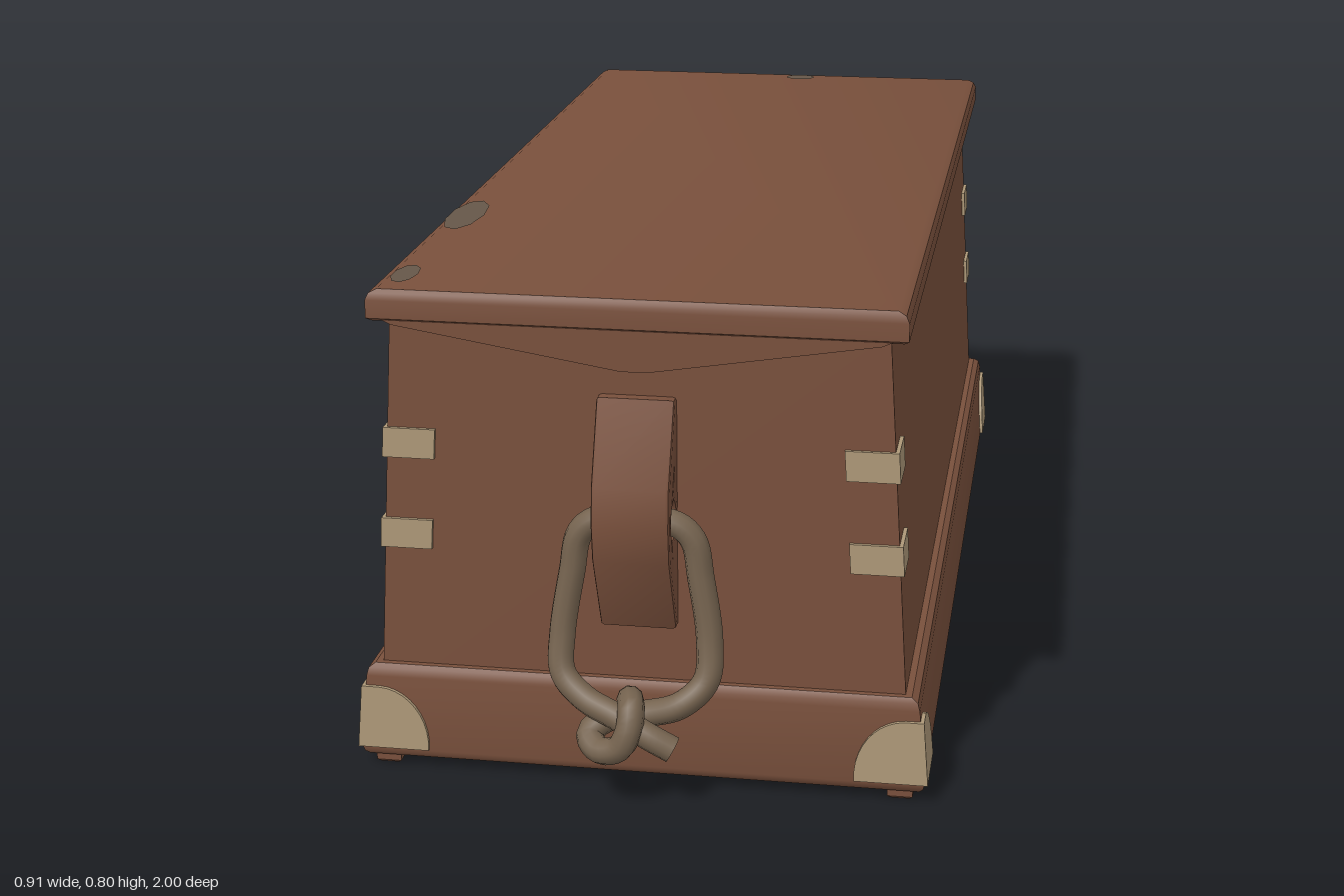
import * as THREE from 'three';
import { toCreasedNormals } from 'three/addons/utils/BufferGeometryUtils.js';

const mat = (name, color) => new THREE.MeshStandardMaterial({ name, color });

// Rectangular rings [y, halfX, halfZ] from bottom to top, joined and capped
function loft(rings) {
  const pos = [], idx = [];
  for (const [y, hx, hz] of rings) pos.push(hx, y, hz, hx, y, -hz, -hx, y, -hz, -hx, y, hz);
  for (let r = 0; r < rings.length - 1; r++) {
    for (let i = 0; i < 4; i++) {
      const a = r * 4 + i, b = r * 4 + (i + 1) % 4;
      idx.push(a, b, b + 4, a, b + 4, a + 4);
    }
  }
  const t = (rings.length - 1) * 4;
  idx.push(0, 2, 1, 0, 3, 2, t, t + 1, t + 2, t, t + 2, t + 3);
  const g = new THREE.BufferGeometry();
  g.setAttribute('position', new THREE.Float32BufferAttribute(pos, 3));
  g.setIndex(idx);
  return toCreasedNormals(g, 0.6);
}

// Thin plate wrapped on one face of a corner; shape x runs inwards from the corner
function cornerPlate(shape, halfX, halfZ, sx, sz, onSide) {
  const t = 0.006;
  const g = new THREE.ExtrudeGeometry(shape, { depth: t, bevelEnabled: false, curveSegments: 10 });
  const p = g.attributes.position;
  for (let i = 0; i < p.count; i++) {
    const u = p.getX(i), y = p.getY(i), d = p.getZ(i);
    const x = onSide ? halfX(y) + d : halfX(y) + t - u;
    const z = onSide ? halfZ(y) + t - u : halfZ(y) + d;
    p.setXYZ(i, sx * x, y, sz * z);
  }
  // Keep faces outward after mirroring
  if (sx * sz * (onSide ? 1 : -1) < 0) {
    const a = new THREE.Vector3(), b = new THREE.Vector3();
    for (let i = 0; i < p.count; i += 3) {
      a.fromBufferAttribute(p, i + 1);
      b.fromBufferAttribute(p, i + 2);
      p.setXYZ(i + 1, b.x, b.y, b.z);
      p.setXYZ(i + 2, a.x, a.y, a.z);
    }
  }
  g.computeVertexNormals();
  return g;
}

const polygon = pts => new THREE.Shape(pts.map(([x, y]) => new THREE.Vector2(x, y)));

export function createModel() {
  const root = new THREE.Group();
  root.name = 'seaChest';
  const wood = mat('wood', 0x79503c);
  const brass = mat('brass', 0xad9878);
  const rope = mat('rope', 0x75634f);
  const worn = mat('wornPaint', 0x665749);
  const add = (parent, name, geo, material) => {
    const m = new THREE.Mesh(geo, material);
    m.name = name;
    parent.add(m);
    return m;
  };

  // Tapered body, skirt base and runners
  const bodyX = y => 0.415 - (y - 0.17) * 0.06, bodyZ = () => 0.86;
  const baseX = y => 0.4485 - (y - 0.03) * 0.08, baseZ = y => 0.882 - (y - 0.03) * 0.03;
  add(root, 'body', loft([[0.1, bodyX(0.1), 0.86], [0.755, bodyX(0.755), 0.86]]), wood);
  add(root, 'base', loft([
    [0.018, 0.44, 0.875], [0.024, 0.446, 0.88], [0.032, 0.4485, 0.882], [0.155, baseX(0.155), baseZ(0.155)],
    [0.168, 0.435, 0.876], [0.175, 0.425, 0.87]]), wood);
  for (const s of [-1, 1]) {
    const runner = add(root, 'runner', loft([[0, 0.015, 0.865], [0.005, 0.02, 0.87], [0.022, 0.02, 0.87]]), wood);
    runner.position.x = s * 0.41;
  }

  // Lid with rounded rim
  add(root, 'lid', loft([
    [0.745, 0.402, 0.882], [0.75, 0.409, 0.889], [0.778, 0.409, 0.889],
    [0.789, 0.404, 0.887], [0.795, 0.392, 0.882]]), wood);

  // Worn patches on the lid
  for (const [x, z, w, d] of [[-0.37, 0.43, 0.03, 0.1], [0.035, -0.85, 0.03, 0.025], [-0.37, 0.8, 0.02, 0.05]]) {
    const g = new THREE.CircleGeometry(1, 9).rotateX(-Math.PI / 2).scale(w, 1, d);
    add(root, 'wornPatch', g, worn).position.set(x, 0.797, z);
  }

  // Corner guards on the base, and straps up the corners
  const guard = new THREE.Shape();
  guard.moveTo(0, 0.035);
  guard.lineTo(0.115, 0.035);
  guard.bezierCurveTo(0.115, 0.09, 0.075, 0.138, 0.028, 0.139);
  guard.lineTo(0, 0.139);
  const strap = (y, w) => polygon([[0, y], [w, y], [w, y + 0.048], [0, y + 0.048]]);
  for (const sx of [-1, 1]) for (const sz of [-1, 1]) for (const onSide of [false, true]) {
    add(root, 'cornerGuard', cornerPlate(guard, baseX, baseZ, sx, sz, onSide), brass);
    for (const y of [0.372, 0.521]) {
      add(root, 'cornerStrap', cornerPlate(strap(y, 0.082), bodyX, bodyZ, sx, sz, onSide), brass);
    }
  }

  // One end: lid gable, cleat and knotted rope handle
  const gableShape = polygon([[-0.385, 0.748], [-0.37, 0.741], [-0.02, 0.684], [0.02, 0.684], [0.37, 0.741], [0.385, 0.748]]);
  const gableGeo = new THREE.ExtrudeGeometry(gableShape, { depth: 0.033, bevelEnabled: false }).translate(0, 0, 0.855);

  const cleatShape = polygon([
    [0.85, 0.272], [0.868, 0.272], [0.924, 0.395], [0.931, 0.45], [0.925, 0.51], [0.874, 0.633], [0.85, 0.633]]);
  const hole = new THREE.Path();
  hole.absellipse(0.888, 0.452, 0.03, 0.036, 0, Math.PI * 2, true);
  cleatShape.holes.push(hole);
  const cleatGeo = toCreasedNormals(new THREE.ExtrudeGeometry(cleatShape, {
    depth: 0.108, bevelSize: 0.006, bevelThickness: 0.006, bevelSegments: 2, curveSegments: 8,
  }).rotateY(-Math.PI / 2).translate(0.054, 0, 0), 0.5);

  const ropePath = [
    [0.068, 0.105, 0.962], [0.03, 0.125, 0.962], [-0.02, 0.148, 0.95], [-0.075, 0.167, 0.93], [-0.112, 0.2, 0.912],
    [-0.115, 0.26, 0.895], [-0.1, 0.36, 0.885], [-0.088, 0.42, 0.883], [-0.06, 0.445, 0.883],
    [0, 0.446, 0.883], [0.06, 0.445, 0.883], [0.088, 0.42, 0.883], [0.1, 0.36, 0.885],
    [0.115, 0.26, 0.895], [0.112, 0.2, 0.912], [0.075, 0.165, 0.93], [0.02, 0.145, 0.925],
    [-0.035, 0.135, 0.925], [-0.065, 0.115, 0.945], [-0.045, 0.099, 0.968], [-0.012, 0.11, 0.978],
    [0.003, 0.14, 0.976], [0.004, 0.168, 0.96], [-0.005, 0.165, 0.92], [0.0, 0.13, 0.91], [0.015, 0.11, 0.925]];
  const curve = new THREE.CatmullRomCurve3(ropePath.map(p => new THREE.Vector3(...p)));
  const ropeGeo = new THREE.TubeGeometry(curve, 150, 0.021, 10);
  const ends = [curve.getPoint(0), curve.getPoint(1)];

  for (const turn of [0, Math.PI]) {
    const end = new THREE.Group();
    end.name = turn ? 'backEnd' : 'frontEnd';
    end.rotation.y = turn;
    add(end, 'lidGable', gableGeo, wood);
    add(end, 'cleat', cleatGeo, wood);
    add(end, 'ropeHandle', ropeGeo, rope);
    // Discs closing the two rope ends
    ends.forEach((point, i) => {
      const cap = add(end, 'ropeEnd', new THREE.CircleGeometry(0.021, 10), rope);
      const dir = curve.getTangent(i).multiplyScalar(i ? 1 : -1);
      cap.quaternion.setFromUnitVectors(new THREE.Vector3(0, 0, 1), dir);
      cap.position.copy(point);
    });
    root.add(end);
  }
  return root;
}
